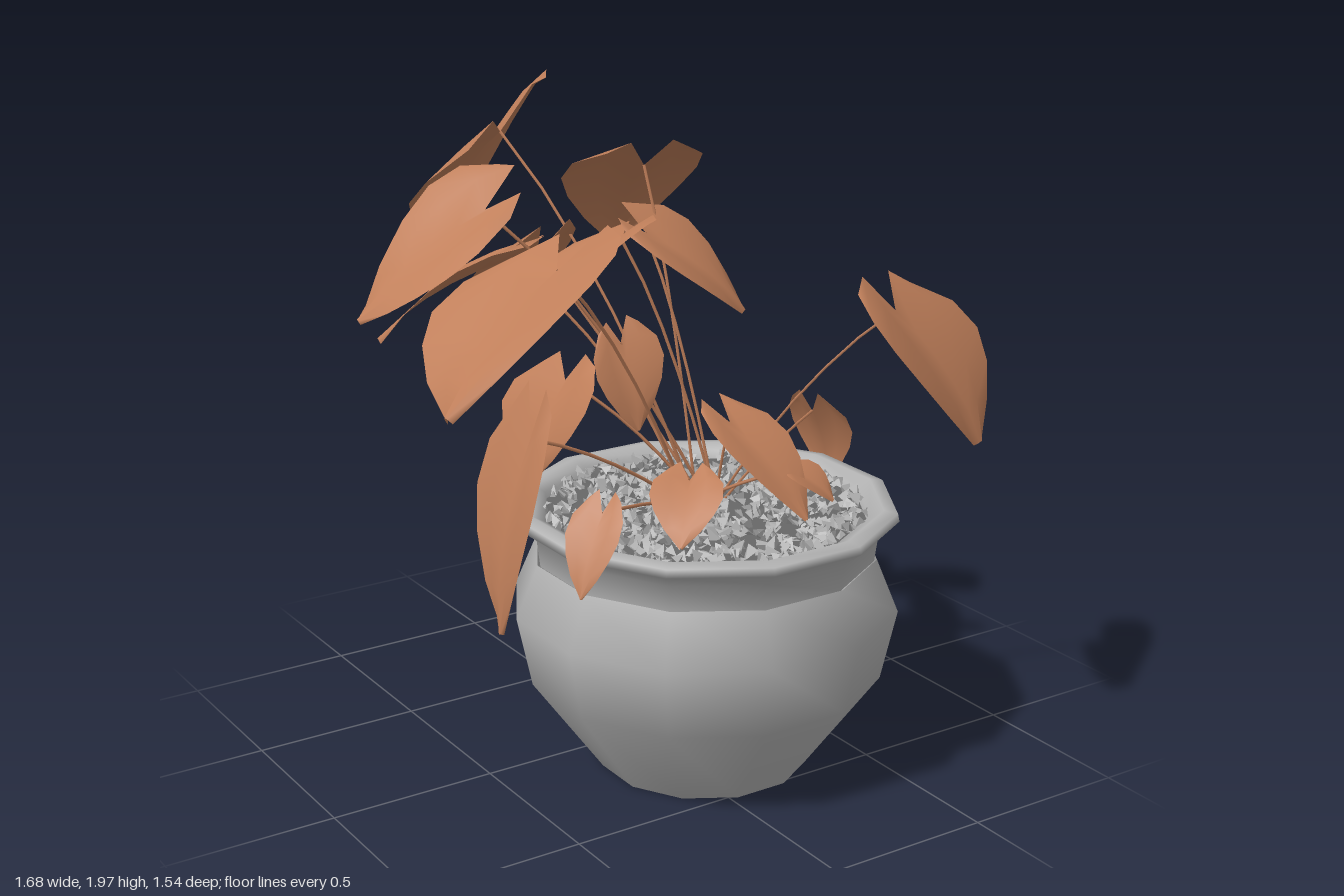
import * as THREE from 'three';
import { mergeGeometries } from 'three/addons/utils/BufferGeometryUtils.js';

const V = (a) => new THREE.Vector3(...a);
const CENTRE = new THREE.Vector3(0.105, 0, 0.215); // pot axis

// Small seeded random generator
function seeded(s) {
  return () => {
    s = (s * 16807) % 2147483647;
    return s / 2147483647;
  };
}

// Heart-shaped leaf: base (stem joint), tip, and half-width vector across the blade
function leafGeometry(base, tip, side) {
  const along = tip.clone().sub(base);
  const up = new THREE.Vector3().crossVectors(side, along).normalize();
  if (up.y < 0) up.negate();
  const widths = [0.6, 0.95, 1, 0.82, 0.5, 0.03];
  const cols = [-1, -0.5, 0, 0.5, 1];
  const lobe = { 0: 0, 0.5: -0.27, 1: -0.16 };
  const pos = [], index = [];
  widths.forEach((w, i) => {
    const t = i / (widths.length - 1);
    for (const c of cols) {
      const start = lobe[Math.abs(c)];
      const u = start + t * (1 - start);
      const lift = side.length() * (0.22 * Math.abs(c) * w - 0.1 * c * c) + along.length() * 0.24 * t * (1 - t);
      const p = base.clone().addScaledVector(along, u).addScaledVector(side, c * w).addScaledVector(up, lift);
      pos.push(p.x, p.y, p.z);
    }
  });
  // Wind the faces so that their fronts look along "up"
  const flip = new THREE.Vector3().crossVectors(side, along).dot(up) < 0;
  const n = cols.length;
  for (let i = 0; i < widths.length - 1; i++) {
    for (let j = 0; j < n - 1; j++) {
      const a = i * n + j, b = a + 1, c = a + n, d = c + 1;
      index.push(...(flip ? [a, c, b, b, c, d] : [a, b, c, b, d, c]));
    }
  }
  const g = new THREE.BufferGeometry();
  g.setAttribute('position', new THREE.Float32BufferAttribute(pos, 3));
  g.setIndex(index);
  g.computeVertexNormals();
  return g;
}

// Small low leaf: hangs outward from the pot axis, level across its width
function hangingLeaf([x, y, z, reach, drop, halfWidth]) {
  const base = new THREE.Vector3(x, y, z);
  const out = base.clone().sub(CENTRE).setY(0).normalize();
  const tip = base.clone().addScaledVector(out, reach);
  tip.y -= drop;
  return [base, tip, new THREE.Vector3(out.z, 0, -out.x).multiplyScalar(halfWidth)];
}

export function createModel() {
  const model = new THREE.Group();
  model.name = 'pottedPlant';
  const make = (color, name) => {
    const m = new THREE.MeshStandardMaterial({ color, side: THREE.DoubleSide });
    m.name = name;
    return m;
  };
  const potGrey = make(0xb4b4b4, 'potGrey');
  const soilGrey = make(0x686868, 'soilGrey');
  const leafBrown = make(0xc07f5a, 'leafBrown');
  const add = (name, geometry, material, parent) => {
    const mesh = new THREE.Mesh(geometry, material);
    mesh.name = name;
    parent.add(mesh);
  };

  // Pot: separate turned pieces keep the edges between them sharp
  const pot = new THREE.Group();
  pot.name = 'pot';
  pot.position.copy(CENTRE);
  model.add(pot);
  const turn = (points) =>
    new THREE.LatheGeometry(points.map((p) => new THREE.Vector2(...p)), 12, Math.PI / 12);
  add('potBase', turn([[0, 0], [0.31, 0]]), potGrey, pot);
  add('potBody', turn([[0.31, 0], [0.52, 0.29], [0.565, 0.5], [0.5, 0.655]]), potGrey, pot);
  add('potRim', turn([[0.492, 0.65], [0.502, 0.73], [0.56, 0.775], [0.555, 0.798],
    [0.515, 0.805], [0.475, 0.785], [0.465, 0.74]]), potGrey, pot);
  add('soil', turn([[0.475, 0.765], [0, 0.77]]), soilGrey, pot);

  // Gravel chips scattered over the soil
  const rand = seeded(77);
  const chips = [];
  const matrix = new THREE.Matrix4();
  for (let i = 0; i < 900; i++) {
    const r = 0.465 * Math.sqrt(rand()), a = rand() * Math.PI * 2, s = 0.012 + 0.013 * rand();
    const chip = new THREE.TetrahedronGeometry(1);
    const turnBy = new THREE.Quaternion().setFromEuler(new THREE.Euler(rand() * 6, rand() * 6, rand() * 6));
    matrix.compose(new THREE.Vector3(r * Math.cos(a), 0.772 + 0.016 * rand(), r * Math.sin(a)),
      turnBy, new THREE.Vector3(s * 1.5, s, s * 0.7));
    chips.push(chip.applyMatrix4(matrix));
  }
  add('gravel', mergeGeometries(chips), potGrey, pot);

  // Large leaves: stem joint, tip, half width
  const largeLeaves = [
    [[0.55, 1.36, 0.5], [0.68, 1.02, 0.74], [0.25, -0.03, -0.12]],
    [[-0.2, 1.8, -0.4], [-0.17, 1.46, -0.78], [0.17, 0.17, 0.08]],
    [[0.1, 1.72, -0.1], [0.2, 1.43, -0.43], [0.21, 0, 0.04]],
    [[0.04, 1.55, 0], [0.27, 1.33, 0.17], [0.1, 0.04, -0.13]],
    [[-0.42, 1.56, 0.28], [-0.8, 1.24, 0.35], [0.09, 0.08, 0.26]],
    [[-0.46, 1.67, -0.03], [-0.82, 1.4, -0.1], [-0.06, -0.09, 0.16]],
    [[-0.3, 1.48, -0.18], [-0.64, 1.26, -0.35], [-0.1, 0.04, 0.17]],
    [[-0.2, 1.47, -0.2], [-0.18, 1.03, -0.64], [0.15, 0.02, 0.01]],
    [[-0.08, 1.56, 0.06], [-0.4, 1.42, 0.15], [0.04, 0.05, 0.14]],
    [[-0.12, 1.28, 0.12], [-0.12, 1.05, 0.22], [0.11, 0.02, 0]],
    [[-0.2, 1.14, -0.05], [-0.32, 0.86, -0.06], [0.02, 0.03, 0.2]],
  ].map((leaf) => leaf.map(V));

  // Small leaves: stem joint, reach, drop, half width
  const smallLeaves = [
    [0.13, 1.05, 0.3, 0.28, 0.22, 0.13],
    [-0.46, 1.08, 0.2, 0.11, 0.55, 0.16],
    [-0.42, 0.95, 0.5, 0.12, 0.2, 0.08],
    [-0.13, 0.98, 0.48, 0.17, 0.13, 0.1],
    [0.26, 0.92, 0.43, 0.12, 0.07, 0.09],
    [0.62, 0.93, 0.04, 0.1, 0.24, 0.11],
  ].map(hangingLeaf);

  const foliage = new THREE.Group();
  foliage.name = 'foliage';
  model.add(foliage);
  [...largeLeaves, ...smallLeaves].forEach(([base, tip, side], i) => {
    add('leaf' + (i + 1), leafGeometry(base, tip, side), leafBrown, foliage);

    // Thin curved stem from the soil to the leaf
    const a = i * 2.4;
    const foot = new THREE.Vector3(0.11 + 0.04 * Math.cos(a), 0.77, 0.2 + 0.04 * Math.sin(a));
    const bend = foot.clone().lerp(base, 0.5);
    bend.y = base.y * 0.7 + foot.y * 0.3;
    const curve = new THREE.QuadraticBezierCurve3(foot, bend, base);
    add('stem' + (i + 1), new THREE.TubeGeometry(curve, 6, 0.005, 4), leafBrown, foliage);
  });
  return model;
}
